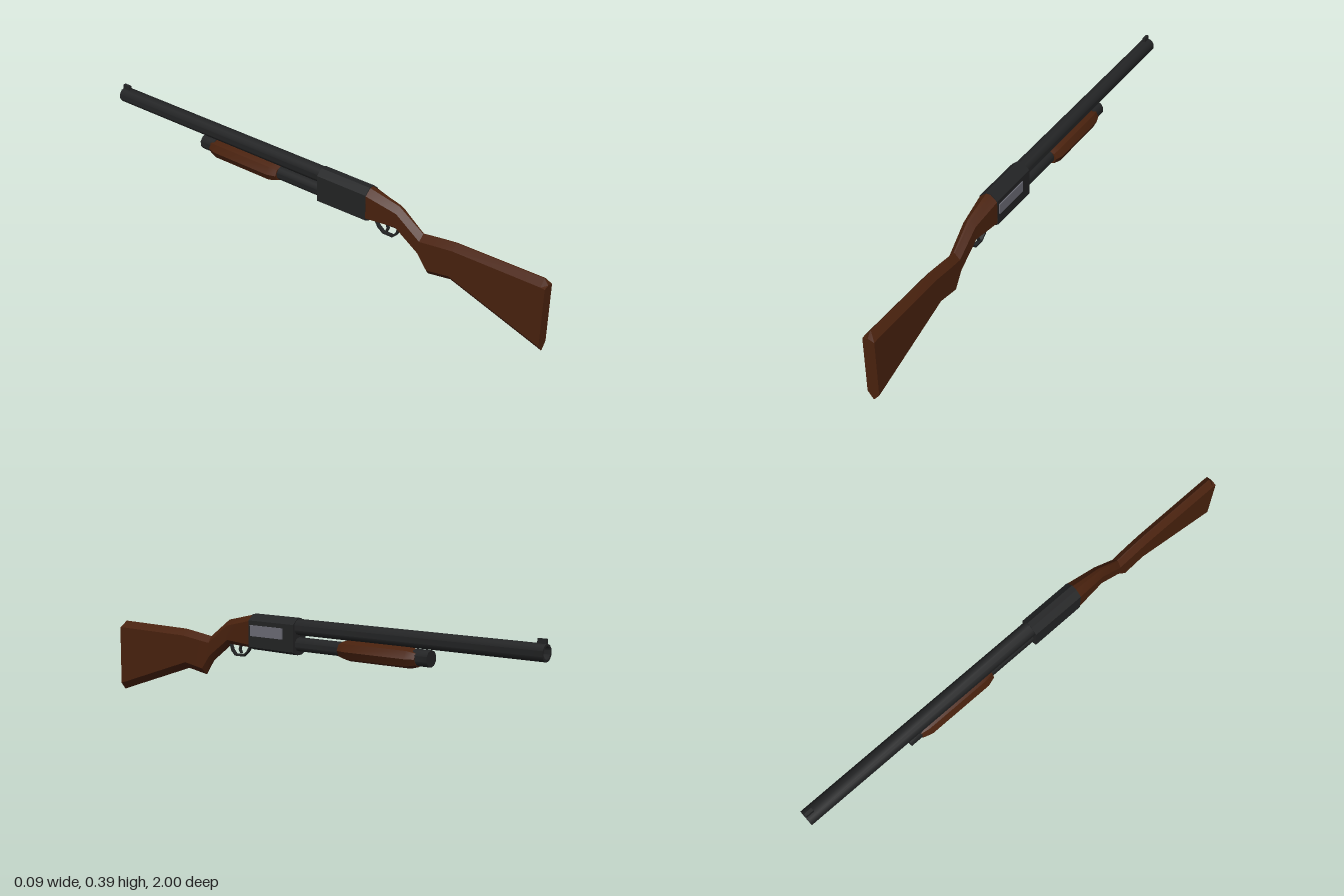
import * as THREE from 'three';
import { toCreasedNormals } from 'three/addons/utils/BufferGeometryUtils.js';

const wood = new THREE.MeshStandardMaterial({ color: 0x4a220e });
wood.name = 'walnut';
const metal = new THREE.MeshStandardMaterial({ color: 0x232425 });
metal.name = 'gunmetal';
const steel = new THREE.MeshStandardMaterial({ color: 0x6c6c76 });
steel.name = 'bare steel';

// Bevelled eight-point cross-section between a top and a bottom point (z, y)
function section({ top, bottom, w, drop, rise, ridge = 0.002, x = 0 }) {
  const h = top[1] - bottom[1];
  const at = (px, t) => [
    x + px,
    THREE.MathUtils.lerp(bottom[1], top[1], t),
    THREE.MathUtils.lerp(bottom[0], top[0], t),
  ];
  const lo = rise / h, hi = 1 - drop / h;
  return [at(w, lo), at(w, hi), at(ridge, 1), at(-ridge, 1), at(-w, hi), at(-w, lo), at(-ridge, 0), at(ridge, 0)];
}

// Closed skin over cross-sections ordered by increasing z
function loft(rings, crease = 0.5) {
  const n = rings[0].length, index = [];
  for (let j = 0; j < rings.length - 1; j++) {
    for (let k = 0; k < n; k++) {
      const a = j * n + k, b = j * n + (k + 1) % n;
      index.push(a, b, a + n, b, b + n, a + n);
    }
  }
  const last = (rings.length - 1) * n;
  for (let k = 1; k < n - 1; k++) {
    index.push(0, k + 1, k, last, last + k, last + k + 1);
  }
  const geo = new THREE.BufferGeometry();
  geo.setAttribute('position', new THREE.Float32BufferAttribute(rings.flat(2), 3));
  geo.setIndex(index);
  return toCreasedNormals(geo, crease);
}

// Turned part along z from a profile of (radius, z)
function turned(profile, sides) {
  const geo = new THREE.LatheGeometry(profile.map(([r, z]) => new THREE.Vector2(r, z)), sides);
  geo.rotateX(Math.PI / 2);
  return toCreasedNormals(geo, 0.7);
}

// Flat bar bent along points (z, y), extruded across x
function bentBar(points, thickness, width) {
  const group = new THREE.Group();
  for (let i = 0; i < points.length - 1; i++) {
    const [z0, y0] = points[i], [z1, y1] = points[i + 1];
    const length = Math.hypot(z1 - z0, y1 - y0);
    const bar = new THREE.Mesh(new THREE.BoxGeometry(width, thickness, length + thickness * 0.6), metal);
    bar.position.set(0, (y0 + y1) / 2, (z0 + z1) / 2);
    bar.rotation.x = -Math.atan2(y1 - y0, z1 - z0);
    group.add(bar);
  }
  return group;
}

export function createModel() {
  const model = new THREE.Group();
  const add = (name, object, y = 0) => {
    object.name = name;
    object.position.y += y;
    model.add(object);
    return object;
  };

  // Stock: wrist, grip and butt
  const stock = [
    { top: [0.265, 0.372], bottom: [0.265, 0.243], w: 0.036, drop: 0.022, rise: 0.014, ridge: 0.009 },
    { top: [0.395, 0.342], bottom: [0.39, 0.246], w: 0.025, drop: 0.022, rise: 0.018, ridge: 0.005 },
    { top: [0.497, 0.267], bottom: [0.486, 0.171], w: 0.022, drop: 0.024, rise: 0.022, x: 0.001 },
    { top: [0.56, 0.276], bottom: [0.524, 0.112], w: 0.023, drop: 0.025, rise: 0.025, x: 0.002 },
    { top: [0.636, 0.286], bottom: [0.62, 0.128], w: 0.023, drop: 0.025, rise: 0.025, x: 0.002 },
    { top: [0.984, 0.291], bottom: [0.984, 0.006], w: 0.0235, drop: 0.026, rise: 0.027, x: 0.002 },
    { top: [1, 0.269], bottom: [1, 0], w: 0.0235, drop: 0.006, rise: 0.028, x: 0.002 },
  ];
  add('stock', new THREE.Mesh(loft(stock.map(section)), wood));

  // Receiver with ejection port on the left side
  const receiver = [0.045, 0.267].map((z) =>
    section({ top: [z, 0.374], bottom: [z, 0.238], w: 0.037, drop: 0.022, rise: 0.012, ridge: 0.012 }));
  receiver[0].forEach((p) => { if (p[1] < 0.26) p[1] -= 0.003; });
  add('receiver', new THREE.Mesh(loft(receiver, 0.3), metal));
  const port = add('ejectionPort', new THREE.Mesh(new THREE.BoxGeometry(0.008, 0.042, 0.16), steel), 0.314);
  port.position.set(0.0375, 0.314, 0.177);

  // Barrel with open muzzle
  add('barrel', new THREE.Mesh(turned(
    [[0, -0.94], [0.023, -0.94], [0.023, -1], [0.031, -1], [0.031, 0.06], [0, 0.06]], 10), metal), 0.341);

  // Front sight
  const sight = add('frontSight', new THREE.Mesh(new THREE.BoxGeometry(0.012, 0.022, 0.033), metal), 0.376);
  sight.position.x = -0.002;
  sight.position.z = -0.9815;

  // Magazine tube and its cap
  add('magazineTube', new THREE.Mesh(turned(
    [[0, -0.5], [0.027, -0.5], [0.027, 0.06], [0, 0.06]], 10), metal), 0.276);
  add('magazineCap', new THREE.Mesh(turned(
    [[0, -0.55], [0.031, -0.55], [0.031, -0.485], [0, -0.485]], 10), metal), 0.278);

  // Sliding fore-end
  const foreEnd = add('foreEnd', new THREE.Mesh(turned(
    [[0, -0.5], [0.035, -0.5], [0.046, -0.465], [0.046, -0.195], [0.035, -0.16], [0, -0.16]], 8), wood), 0.274);
  foreEnd.scale.y = 0.85;

  // Trigger guard and trigger
  add('triggerGuard', bentBar(
    [[0.392, 0.248], [0.383, 0.222], [0.366, 0.206], [0.325, 0.206], [0.305, 0.222], [0.288, 0.246]], 0.007, 0.014));
  add('trigger', bentBar([[0.338, 0.25], [0.345, 0.23], [0.338, 0.216]], 0.008, 0.009));

  return model;
}
